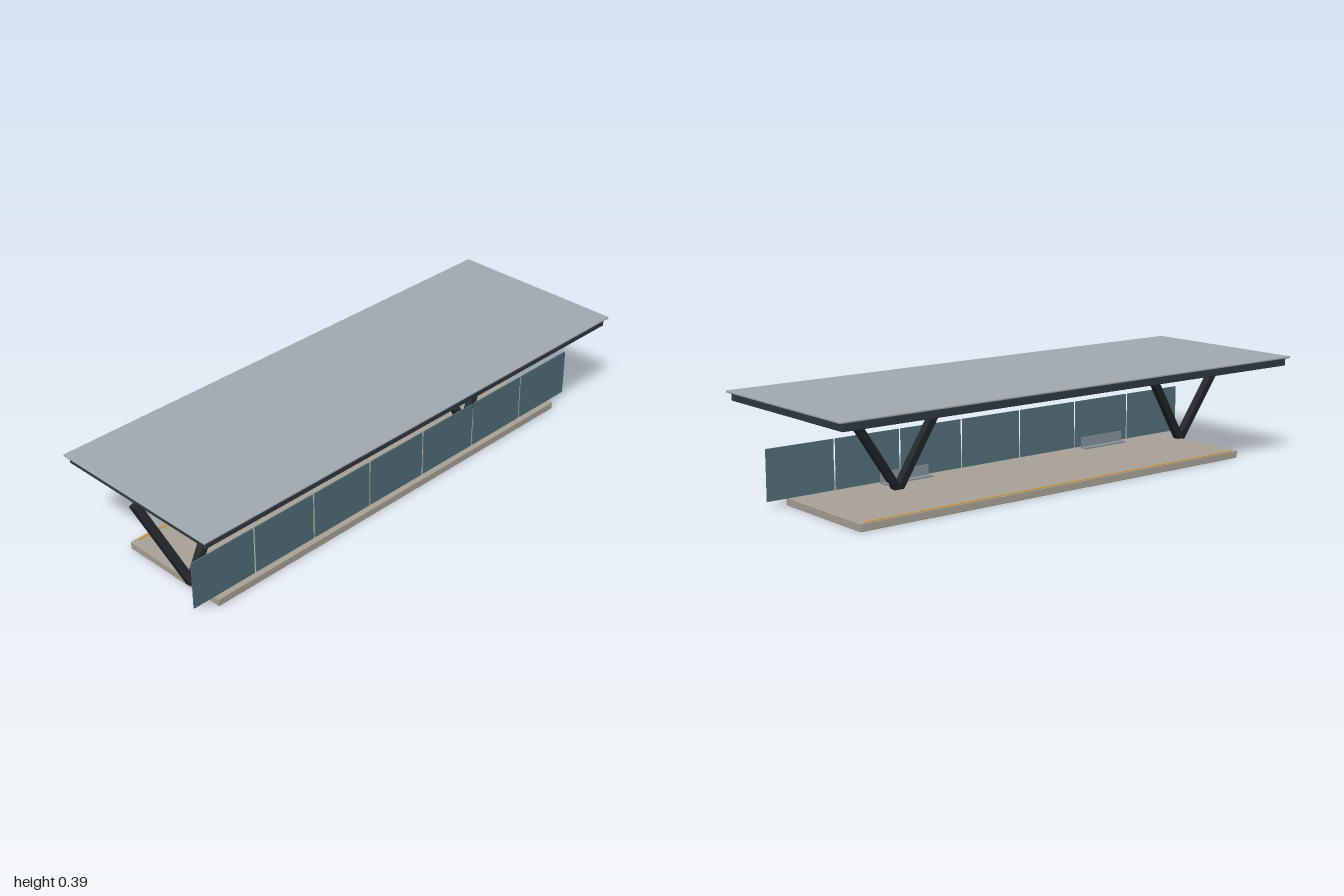
import * as THREE from 'three';
import { RoundedBoxGeometry } from 'three/addons/geometries/RoundedBoxGeometry.js';

const mat = (color) => new THREE.MeshStandardMaterial({ color });

export function createModel() {
  const group = new THREE.Group();
  const roofGrey = mat(0xa3abb1), fascia = mat(0x2f3a42), steel = mat(0x262b2f);
  const stone = mat(0xaaa398), teal = mat(0x527078), benchGrey = mat(0x87929a);
  const amber = mat(0xc79a4a);

  // box given by its [min, max] ranges, optionally with softened edges
  function box(name, material, [x0, x1], [y0, y1], [z0, z1], radius = 0, parent = group) {
    const size = [x1 - x0, y1 - y0, z1 - z0];
    const geo = radius ? new RoundedBoxGeometry(...size, 2, radius) : new THREE.BoxGeometry(...size);
    const mesh = new THREE.Mesh(geo, material);
    mesh.name = name;
    mesh.position.set((x0 + x1) / 2, (y0 + y1) / 2, (z0 + z1) / 2);
    parent.add(mesh);
    return mesh;
  }

  // square beam between two points
  function beam(name, a, b, thickness, parent) {
    const dir = b.clone().sub(a);
    const mesh = new THREE.Mesh(new THREE.BoxGeometry(thickness, dir.length(), thickness), steel);
    mesh.name = name;
    mesh.position.copy(a).add(b).multiplyScalar(0.5);
    mesh.quaternion.setFromUnitVectors(new THREE.Vector3(0, 1, 0), dir.normalize());
    parent.add(mesh);
  }

  // platform with an edge strip along the back
  box('platform', stone, [-0.855, 0.855], [0, 0.027], [-0.224, 0.224], 0.002);
  box('edgeStrip', amber, [-0.83, 0.83], [0.026, 0.029], [-0.221, -0.211]);

  // canopy: dark frame, overhanging cover, and light strips beneath
  box('canopyFrame', fascia, [-0.985, 0.985], [0.356, 0.385], [-0.337, 0.337], 0.002);
  box('canopyCover', roofGrey, [-1, 1], [0.384, 0.391], [-0.348, 0.348], 0.002);
  for (const z of [-0.305, 0.305]) {
    box('lightStrip', amber, [-0.93, 0.93], [0.353, 0.357], [z - 0.002, z + 0.002]);
  }

  // leaning V-shaped supports
  for (const x of [-0.853, 0.496]) {
    const support = new THREE.Group();
    support.name = 'support';
    const foot = new THREE.Vector3(x, 0.024, 0.088);
    for (const dx of [-0.138, 0.264]) {
      beam('supportArm', foot, new THREE.Vector3(x + dx, 0.358, 0.002), 0.027, support);
    }
    group.add(support);
  }

  // row of seven screen panels along the front
  for (let i = -3; i <= 3; i++) {
    const x = i * 0.27;
    box('screenPanel', teal, [x - 0.131, x + 0.131], [0.029, 0.208], [0.2005, 0.2045]);
  }

  // two benches, each a thin seat and backrest
  for (const x of [-0.455, 0.455]) {
    const bench = new THREE.Group();
    bench.name = 'bench';
    const span = [x - 0.1, x + 0.1];
    box('benchSeat', benchGrey, span, [0.05, 0.055], [0.076, 0.106], 0, bench);
    box('benchBack', benchGrey, span, [0.055, 0.091], [0.102, 0.106], 0, bench);
    group.add(bench);
  }

  return group;
}
